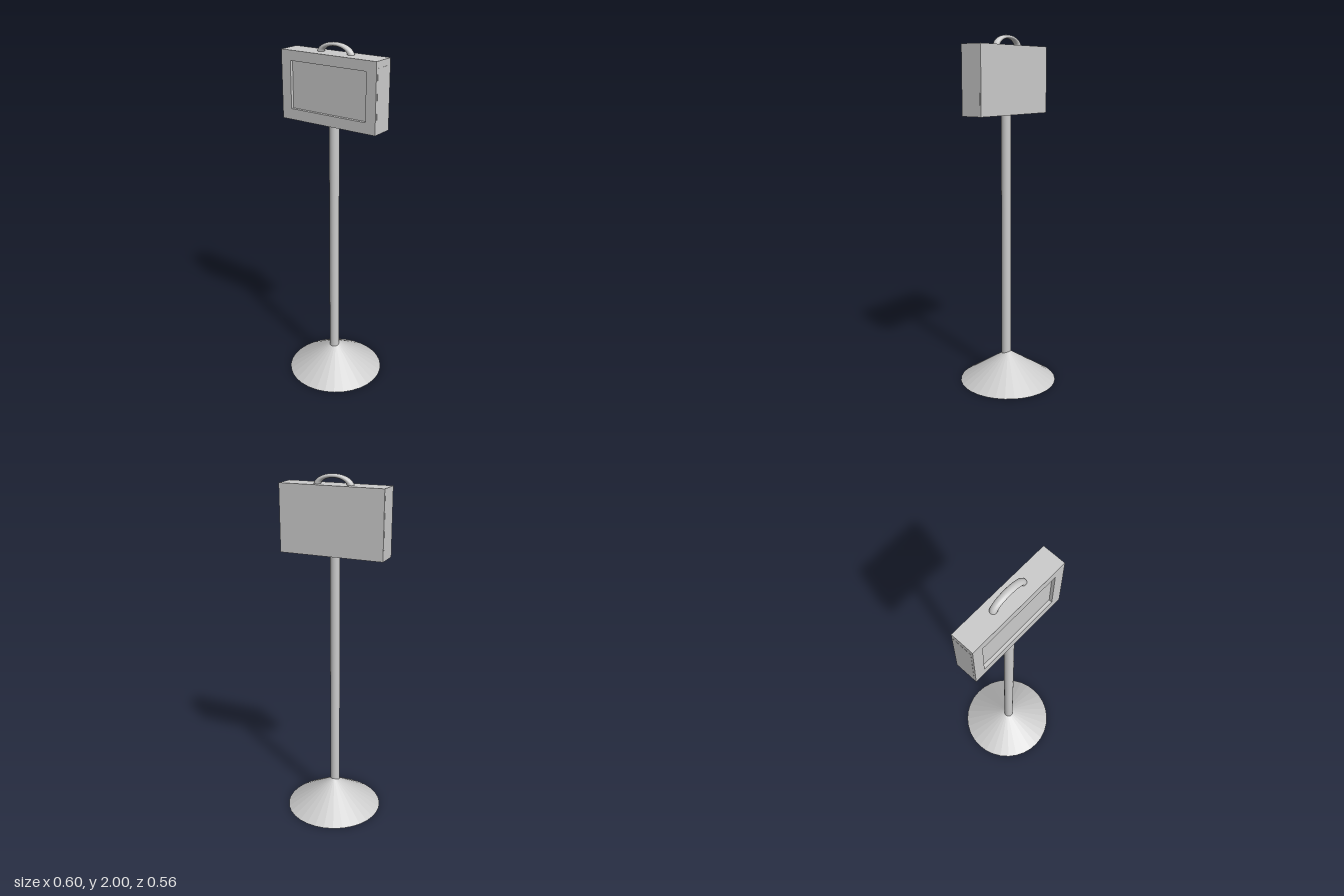
import * as THREE from 'three';

export function createModel() {
  const group = new THREE.Group();
  const material = new THREE.MeshStandardMaterial({ color: 0xcccccc });
  const flat = new THREE.MeshStandardMaterial({ color: 0xcccccc, flatShading: true });

  const add = (name, geometry, x, y, z, mat = material) => {
    const mesh = new THREE.Mesh(geometry, mat);
    mesh.name = name;
    mesh.position.set(x, y, z);
    group.add(mesh);
    return mesh;
  };

  // Conical foot and slender pole
  add('base', new THREE.ConeGeometry(0.282, 0.184, 32), 0, 0.092, 0, flat);
  add('pole', new THREE.CylinderGeometry(0.028, 0.028, 1.43, 32), 0, 0.875, 0.013);

  // Display case: solid back with a frame around the recessed screen
  const bottom = 1.57, top = 1.945, back = -0.053, front = 0.077, recess = 0.018;
  const midY = (bottom + top) / 2;
  const bodyDepth = front - recess - back;
  add('caseBody', new THREE.BoxGeometry(0.6, top - bottom, bodyDepth), 0, midY, back + bodyDepth / 2);

  const rect = (path, w, y0, y1) =>
    path.moveTo(-w, y0).lineTo(w, y0).lineTo(w, y1).lineTo(-w, y1).closePath();
  const frame = new THREE.Shape();
  rect(frame, 0.3, bottom, top);
  const opening = new THREE.Path();
  rect(opening, 0.24, 1.63, 1.89);
  frame.holes.push(opening);
  add('screenFrame', new THREE.ExtrudeGeometry(frame, { depth: recess, bevelEnabled: false }), 0, 0, front - recess);

  // Thin side panels
  for (const side of [-1, 1]) {
    add(side > 0 ? 'leftSidePanel' : 'rightSidePanel',
      new THREE.BoxGeometry(0.002, 0.28, 0.11), side * 0.3, 1.77, 0.01);
  }

  // Flattened carrying handle
  const handle = add('handle', new THREE.TorusGeometry(0.096, 0.0195, 12, 24, Math.PI), 0.003, 1.938, 0.003);
  handle.scale.y = 0.537;

  return group;
}
